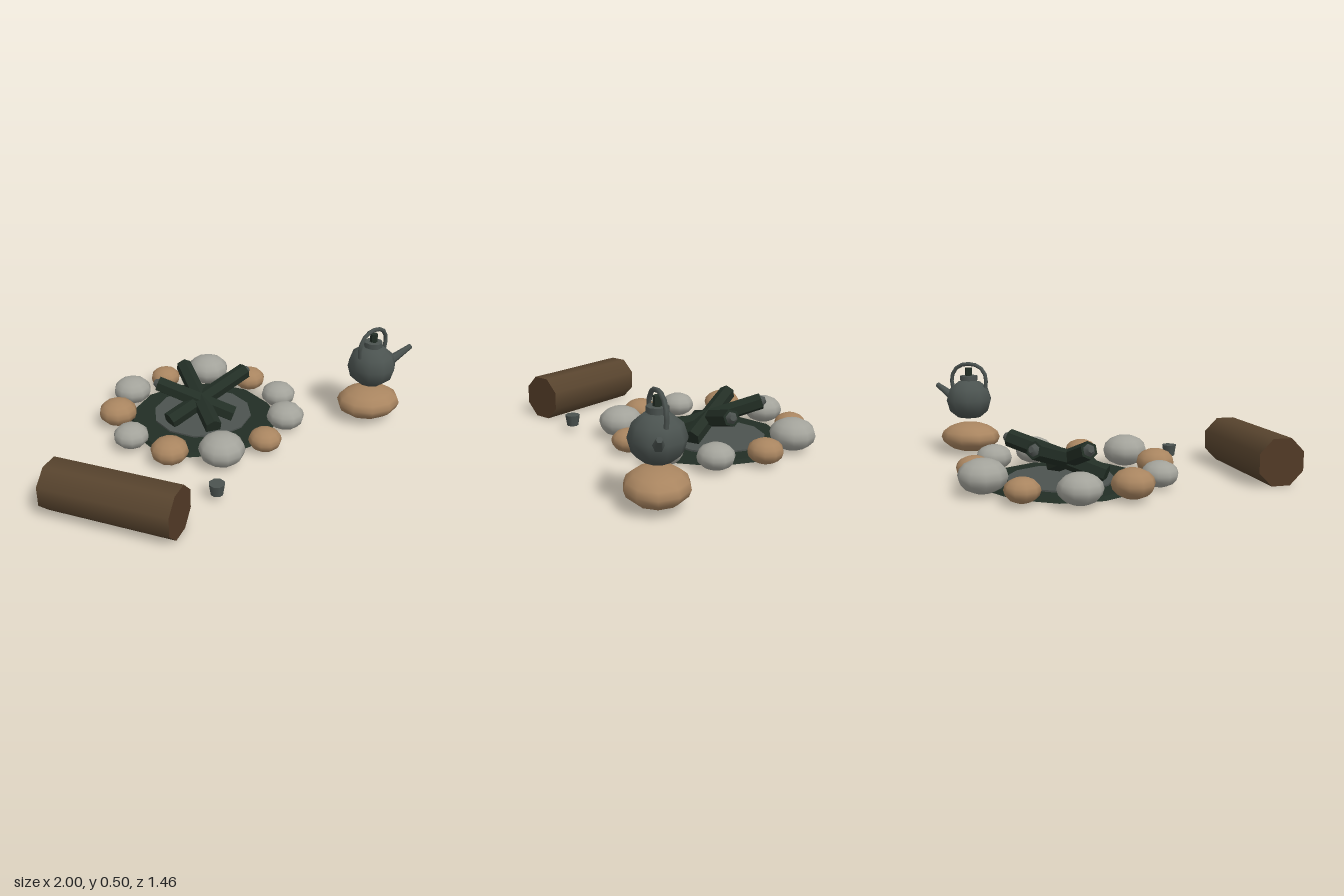
import * as THREE from 'three';

const mat = (name, color, extra = {}) =>
  Object.assign(new THREE.MeshStandardMaterial({ color, ...extra }), { name });

export function createModel() {
  const model = new THREE.Group();
  model.name = 'campsite';

  const greyStone = mat('grey stone', 0xa3a39b);
  const tanStone = mat('tan stone', 0xa98560);
  const bark = mat('bark', 0x58442e);
  const cutWood = mat('cut wood', 0x523a26);
  const charred = mat('charred wood', 0x222e25, { flatShading: true });
  const metal = mat('dark metal', 0x4b5350);
  const ash = mat('ash', 0x4d5350);

  const add = (parent, name, geometry, material, x = 0, y = 0, z = 0) => {
    const mesh = new THREE.Mesh(geometry, material);
    mesh.name = name;
    mesh.position.set(x, y, z);
    parent.add(mesh);
    return mesh;
  };

  // cylinder running from a to b, optionally tapered
  const rod = (parent, name, a, b, ra, rb, sides, material) => {
    const dir = b.clone().sub(a);
    const mesh = add(parent, name, new THREE.CylinderGeometry(rb, ra, dir.length(), sides), material);
    mesh.position.copy(a).lerp(b, 0.5);
    mesh.quaternion.setFromUnitVectors(new THREE.Vector3(0, 1, 0), dir.normalize());
    return mesh;
  };
  const v = (x, y, z) => new THREE.Vector3(x, y, z);

  // ring of flattened stones: x, z, radius, tan?
  const ring = new THREE.Group();
  ring.name = 'stoneRing';
  model.add(ring);
  const stone = new THREE.SphereGeometry(1, 10, 8);
  [
    [-0.34, -0.55, 0.1, 0], [-0.12, -0.655, 0.08, 1], [0.12, -0.62, 0.113, 0],
    [0.305, -0.46, 0.086, 1], [0.375, -0.225, 0.09, 0], [0.305, 0.01, 0.096, 0],
    [0.12, 0.17, 0.082, 1], [-0.12, 0.207, 0.112, 0], [-0.345, 0.105, 0.092, 1],
    [-0.475, -0.1, 0.087, 0], [-0.475, -0.345, 0.097, 1],
  ].forEach(([x, z, r, tan], i) => {
    const mesh = add(ring, 'ringStone', stone, tan ? tanStone : greyStone, x, 0.01 + r * 0.69, z);
    mesh.scale.set(r, r * 0.69, r);
    mesh.rotation.y = i * 0.57;
  });

  // fire bed
  add(model, 'fireBed', new THREE.CylinderGeometry(0.37, 0.385, 0.018, 12), charred, -0.055, 0.014, -0.235);
  add(model, 'ashBed', new THREE.CylinderGeometry(0.255, 0.255, 0.009, 12), ash, -0.045, 0.0265, -0.26);

  // three charred logs leaning across one another, with ashen tips
  const fire = new THREE.Group();
  fire.name = 'fireLogs';
  model.add(fire);
  [
    [v(-0.25, 0.055, -0.19), v(0.215, 0.2, -0.312)],
    [v(-0.065, 0.055, -0.045), v(-0.065, 0.2, -0.495)],
    [v(0.08, 0.055, -0.135), v(-0.255, 0.195, -0.347)],
  ].forEach(([low, high]) => {
    rod(fire, 'fireLog', low, high, 0.045, 0.042, 6, charred);
    const tip = high.clone().add(high.clone().sub(low).setLength(0.022));
    rod(fire, 'logTip', high, tip, 0.03, 0.015, 6, ash);
  });

  // seat log, lying with a flat side down
  const seat = new THREE.Group();
  seat.name = 'seatLog';
  seat.position.set(-0.7, 0.1135, 0.438);
  seat.rotation.y = -Math.atan2(77, 84);
  model.add(seat);
  const logGeometry = new THREE.CylinderGeometry(0.119, 0.119, 0.61, 8);
  logGeometry.rotateY(Math.PI / 8).rotateZ(Math.PI / 2);
  add(seat, 'log', logGeometry, [bark, cutWood, cutWood]);

  // flat rock below the kettle
  const rock = add(model, 'kettleRock', new THREE.SphereGeometry(1, 10, 8), tanStone, 0.762, 0.093, 0.052);
  rock.scale.set(0.168, 0.079, 0.143);

  // kettle
  const kettle = new THREE.Group();
  kettle.name = 'kettle';
  kettle.position.set(0.765, 0, 0.05);
  model.add(kettle);
  const profile = [[0, 0.2], [0.062, 0.202], [0.106, 0.238], [0.123, 0.298], [0.104, 0.358], [0.06, 0.394], [0, 0.404]];
  add(kettle, 'kettleBody', new THREE.LatheGeometry(profile.map(p => new THREE.Vector2(...p)), 10), metal);
  add(kettle, 'lid', new THREE.CylinderGeometry(0.047, 0.047, 0.026, 8), metal, 0, 0.414, 0);
  add(kettle, 'lidKnob', new THREE.CylinderGeometry(0.019, 0.019, 0.045, 6), charred, 0, 0.447, 0);
  rod(kettle, 'spout', v(0.085, 0.288, 0), v(0.228, 0.364, 0), 0.028, 0.013, 6, metal);
  const arch = new THREE.CatmullRomCurve3([
    v(-0.093, 0.36, 0), v(-0.098, 0.42, 0), v(-0.065, 0.472, 0), v(0, 0.49, 0),
    v(0.065, 0.472, 0), v(0.098, 0.42, 0), v(0.093, 0.36, 0),
  ]);
  const handle = add(kettle, 'kettleHandle', new THREE.TubeGeometry(arch, 10, 0.011, 5), metal);
  handle.rotation.y = 0.33;

  // small cup
  add(model, 'cup', new THREE.CylinderGeometry(0.038, 0.029, 0.056, 8), metal, -0.243, 0.057, 0.462);

  return model;
}
